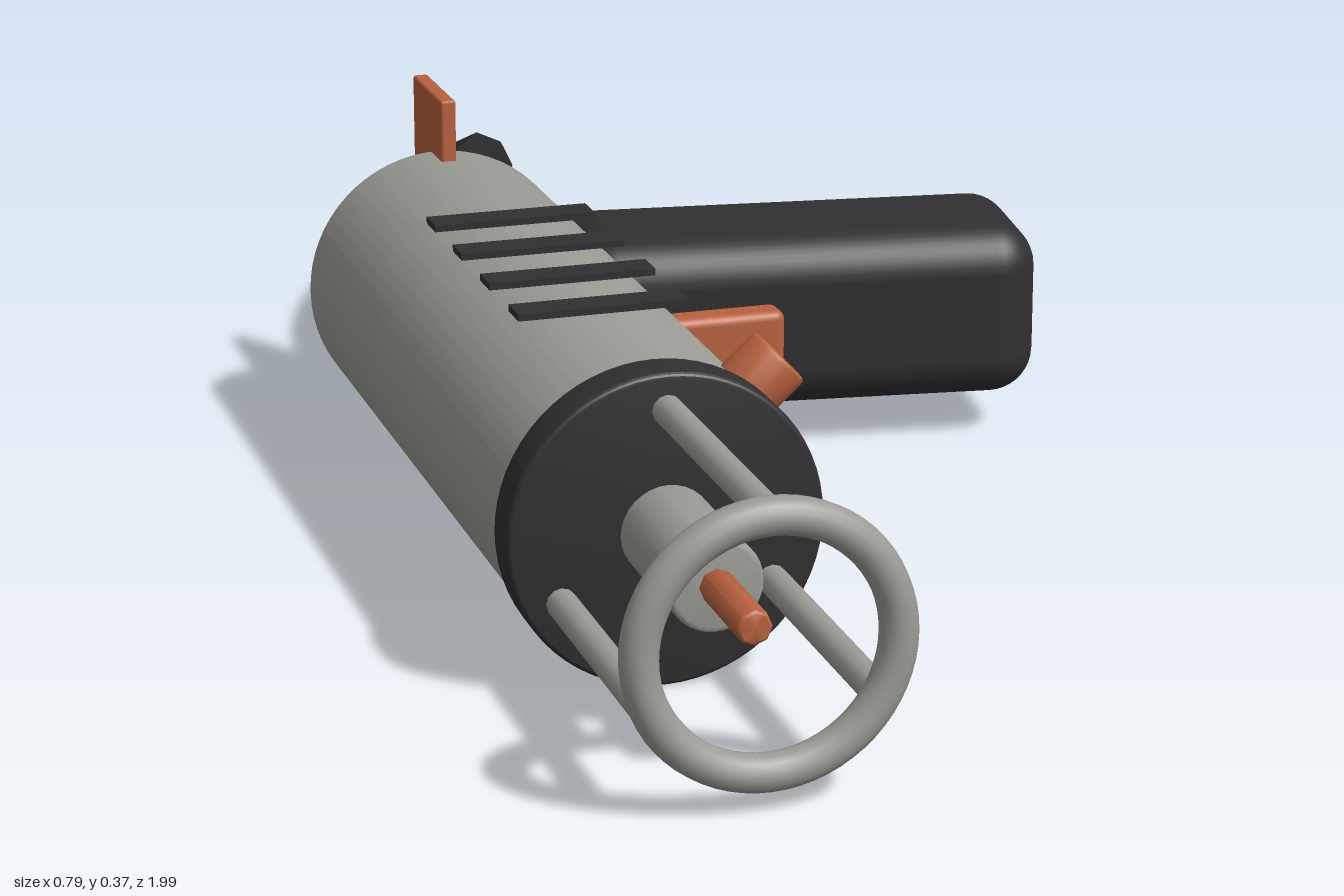
import * as THREE from 'three';
import { toCreasedNormals } from 'three/addons/utils/BufferGeometryUtils.js';
import { RoundedBoxGeometry } from 'three/addons/geometries/RoundedBoxGeometry.js';

const AX = -0.24, AY = 0.157; // barrel axis

function mat(name, color) {
  const m = new THREE.MeshStandardMaterial({ color });
  m.name = name;
  return m;
}

// Solid round bar along +z from z0 to z1 with rounded rims
function roundBar(z0, z1, r, bevel, segs, crease = 0.2) {
  const pts = [new THREE.Vector2(0, z0)];
  const steps = 4;
  for (let i = 0; i <= steps; i++) {
    const a = (i / steps) * Math.PI / 2;
    pts.push(new THREE.Vector2(r - bevel + bevel * Math.sin(a), z0 + bevel - bevel * Math.cos(a)));
  }
  for (let i = 0; i <= steps; i++) {
    const a = (i / steps) * Math.PI / 2;
    pts.push(new THREE.Vector2(r - bevel + bevel * Math.cos(a), z1 - bevel + bevel * Math.sin(a)));
  }
  pts.push(new THREE.Vector2(0, z1));
  return toCreasedNormals(new THREE.LatheGeometry(pts, segs).rotateX(Math.PI / 2), crease);
}

export function createModel() {
  const group = new THREE.Group();
  const grey = mat('grey metal', 0x9c9c96);
  const dark = mat('dark plastic', 0x303030);
  const rubber = mat('black rubber', 0x282828);
  const copper = mat('copper', 0xb9623e);

  function add(name, geometry, material, x = 0, y = 0, z = 0) {
    const mesh = new THREE.Mesh(geometry, material);
    mesh.name = name;
    mesh.position.set(x, y, z);
    group.add(mesh);
    return mesh;
  }

  // Barrel, collar, nozzle and tip
  add('barrel', roundBar(-0.19, 0.64, 0.15, 0.02, 64), grey, AX, AY);
  add('collar', roundBar(0.63, 0.68, 0.156, 0.006, 64), dark, AX, AY);
  add('nozzle', roundBar(0.67, 0.83, 0.046, 0.005, 32, 0.4), grey, AX, AY);
  add('tip', roundBar(0.82, 0.94, 0.017, 0.003, 8, 0.9), copper, AX, AY);

  // Guard ring on three rods
  add('guardRing', new THREE.TorusGeometry(0.12, 0.018, 16, 64), grey, AX, AY, 0.98);
  for (let i = 0; i < 3; i++) {
    const a = Math.PI / 2 + (i * Math.PI * 2) / 3;
    const rod = new THREE.CylinderGeometry(0.015, 0.015, 0.31, 12).rotateX(Math.PI / 2);
    add('guardRod', rod, grey, AX + 0.12 * Math.cos(a), AY + 0.12 * Math.sin(a), 0.825);
  }

  // Vent strips on top
  for (let i = 0; i < 4; i++) {
    add('vent', new THREE.BoxGeometry(0.172, 0.007, 0.036), dark, AX, 0.3125, 0.13 + i * 0.108);
  }

  // Side handle, swept forward a little
  const handle = add('handle', new RoundedBoxGeometry(0.52, 0.195, 0.205, 5, 0.05), dark, 0.126, 0.1425, -0.026);
  handle.rotation.y = -0.14;

  // Trigger in front of the handle
  add('trigger', new RoundedBoxGeometry(0.137, 0.068, 0.038, 3, 0.01), copper, -0.002, 0.146, 0.107);

  // Rear fin
  add('fin', new RoundedBoxGeometry(0.017, 0.125, 0.127, 1, 0.003), copper, AX, 0.3125, -0.19);

  // Adjusting knob, pointing out from the barrel
  const knobAngle = 0.74;
  const knob = add('knob', roundBar(0.125, 0.193, 0.034, 0.005, 20, 0.4), copper, AX, AY, 0.585);
  knob.lookAt(AX + Math.cos(knobAngle), AY + Math.sin(knobAngle), 0.585);

  // Trailing cable with a flat end
  const path = new THREE.CatmullRomCurve3([
    [-0.24, 0.162, -0.17], [-0.244, 0.126, -0.37], [-0.208, 0.09, -0.56],
    [-0.12, 0.06, -0.755], [0.016, 0.06, -0.973],
  ].map((p) => new THREE.Vector3(...p)));
  const tube = new THREE.TubeGeometry(path, 32, 0.045, 8).toNonIndexed();
  tube.computeVertexNormals();
  add('cable', tube, rubber);
  const end = path.getPoint(1);
  const cap = add('cableEnd', new THREE.CircleGeometry(0.045, 8), rubber, end.x, end.y, end.z);
  cap.lookAt(end.clone().add(path.getTangent(1)));

  return group;
}
